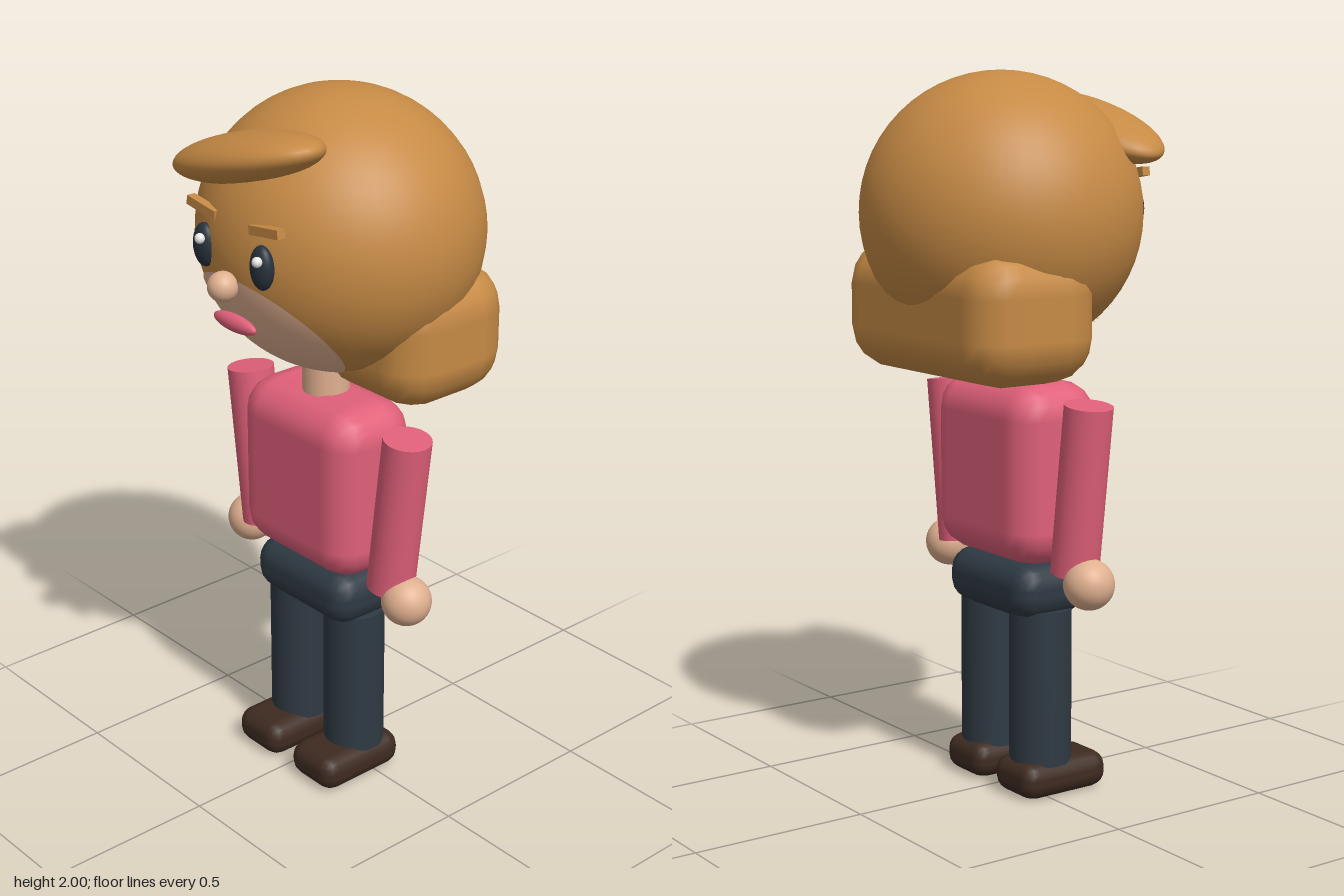
import * as THREE from 'three';
import { RoundedBoxGeometry } from 'three/addons/geometries/RoundedBoxGeometry.js';

const mat = (name, color) => {
  const m = new THREE.MeshStandardMaterial({ color });
  m.name = name;
  return m;
};

export function createModel() {
  const model = new THREE.Group();
  model.name = 'standingFigure';
  const hair = mat('hairBrown', 0xc68a45);
  const skin = mat('skin', 0xe0b090);
  const pink = mat('pink', 0xe0607a);
  const navy = mat('trouserSlate', 0x2f3a43);
  const dark = mat('eyeDark', 0x28323c);
  const brown = mat('shoeBrown', 0x3e2b21);
  const white = mat('white', 0xffffff);

  const add = (name, geometry, material, x, y, z, parent = model) => {
    const mesh = new THREE.Mesh(geometry, material);
    mesh.name = name;
    mesh.position.set(x, y, z);
    parent.add(mesh);
    return mesh;
  };
  const ball = (name, material, [x, y, z], [rx, ry, rz]) => {
    const mesh = add(name, new THREE.SphereGeometry(1, 40, 28), material, x, y, z);
    mesh.scale.set(rx, ry, rz);
    return mesh;
  };
  const block = (name, material, [x, y, z], [w, h, d], r, segments = 2) =>
    add(name, new RoundedBoxGeometry(w, h, d, segments, r), material, x, y, z);

  // Body
  block('torso', pink, [0, 0.913, 0.022], [0.47, 0.505, 0.285], 0.1);
  block('hips', navy, [0, 0.585, 0.022], [0.4, 0.16, 0.235], 0.07);
  add('neck', new THREE.CylinderGeometry(0.066, 0.066, 0.18, 24), skin, 0, 1.19, 0.022);

  // Head: hair ball, skin cap over the lower face, bob at the back
  ball('hairBall', hair, [0, 1.615, -0.03], [0.398, 0.385, 0.383]);
  const face = new THREE.Group();
  face.name = 'face';
  face.position.set(0, 1.615, -0.03);
  face.scale.set(0.402, 0.388, 0.386);
  model.add(face);
  const cap = new THREE.SphereGeometry(1, 48, 16, 0, Math.PI * 2, 0, 0.61);
  add('faceSkin', cap, skin, 0, 0, 0, face).rotation.x = 2.31;
  block('hairBob', hair, [0, 1.36, -0.137], [0.75, 0.365, 0.395], 0.125);
  ball('fringe', hair, [-0.066, 1.847, 0.23], [0.277, 0.066, 0.136]).rotation.z = 0.27;

  // Face details
  ball('nose', skin, [0, 1.545, 0.372], [0.041, 0.041, 0.041]);
  ball('mouth', pink, [0, 1.435, 0.335], [0.085, 0.024, 0.02]);

  // Mirrored parts
  for (const s of [-1, 1]) {
    const side = s > 0 ? 'left' : 'right';
    ball(side + 'Eye', dark, [s * 0.117, 1.62, 0.336], [0.038, 0.06, 0.027]);
    ball(side + 'EyeGlint', white, [s * 0.117 + 0.012, 1.645, 0.362], [0.014, 0.014, 0.014]);
    const brow = add(side + 'Brow', new THREE.BoxGeometry(0.115, 0.025, 0.025), hair, s * 0.127, 1.718, 0.328);
    brow.rotation.z = s * 0.14;

    const arm = add(side + 'Arm', new THREE.CylinderGeometry(0.067, 0.067, 0.47, 24), pink, s * 0.3, 0.888, 0.022);
    arm.rotation.z = -s * 0.125;
    ball(side + 'Hand', skin, [s * 0.335, 0.635, 0.022], [0.07, 0.07, 0.07]);

    add(side + 'Leg', new THREE.CylinderGeometry(0.087, 0.087, 0.44, 28), navy, s * 0.118, 0.31, 0.02);
    block(side + 'Shoe', brown, [s * 0.12, 0.052, 0.055], [0.183, 0.104, 0.285], 0.045);
  }
  return model;
}
